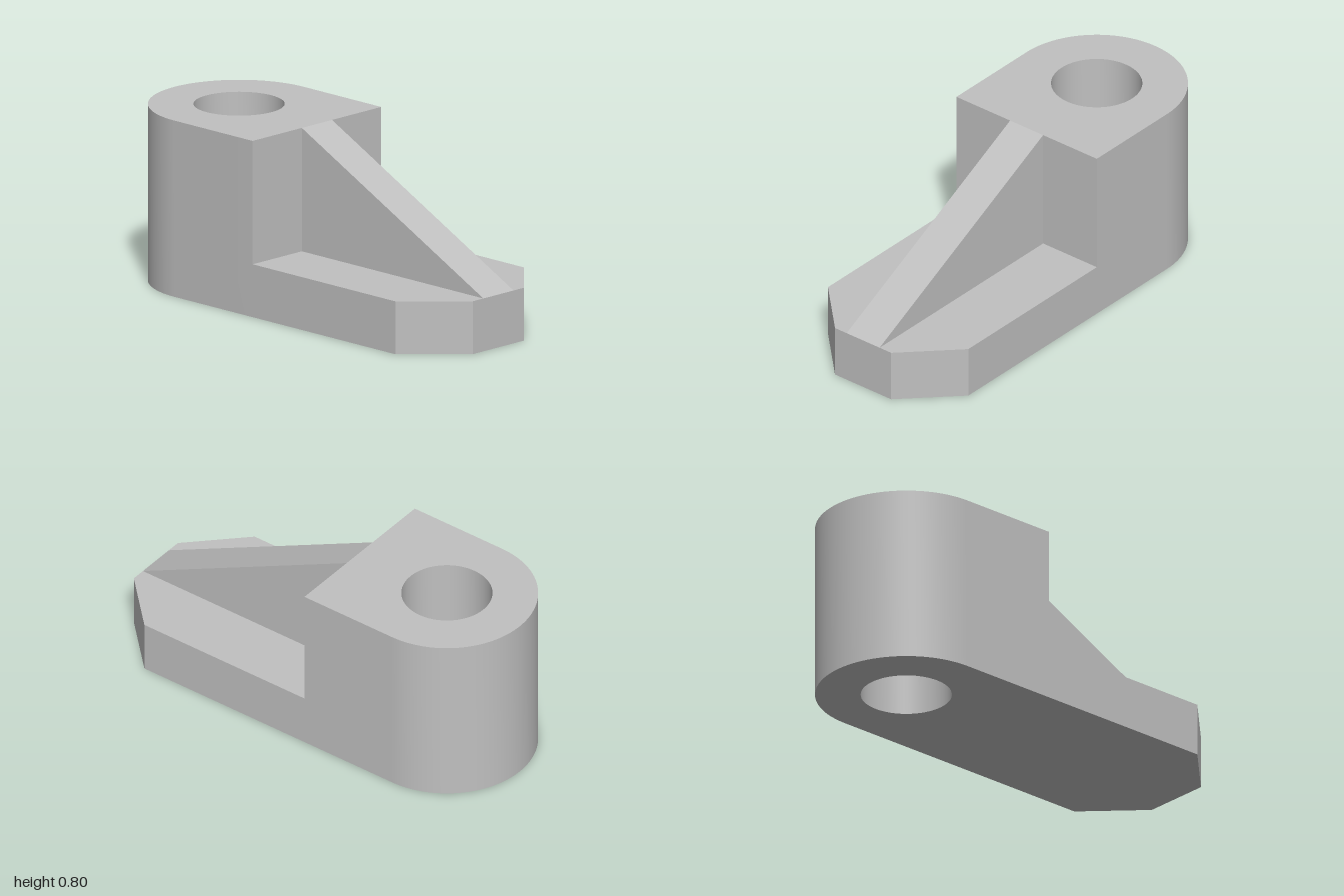
import * as THREE from 'three';
import { toCreasedNormals } from 'three/addons/utils/BufferGeometryUtils.js';

const gray = new THREE.MeshStandardMaterial({ color: 0xc0c0c0 });
gray.name = 'plain gray';

function extrude(shape, depth) {
  return new THREE.ExtrudeGeometry(shape, { depth, bevelEnabled: false, curveSegments: 40 });
}

function addPart(group, name, geometry) {
  const mesh = new THREE.Mesh(toCreasedNormals(geometry, Math.PI / 6), gray);
  mesh.name = name;
  group.add(mesh);
}

export function createModel() {
  const model = new THREE.Group();
  model.name = 'ribbedBracket';

  const half = 0.4;        // half width of the body
  const bossX = -0.6;      // bore axis
  const shoulderX = -0.12; // flat face of the boss
  const height = 0.8;
  const footHeight = 0.24;
  const ribWidth = 0.188;

  // Tall boss: round back, flat shoulder, vertical through bore
  const boss = new THREE.Shape();
  boss.moveTo(shoulderX, -half);
  boss.lineTo(shoulderX, half);
  boss.lineTo(bossX, half);
  boss.absarc(bossX, 0, half, Math.PI / 2, Math.PI * 1.5, false);
  boss.closePath();
  const bore = new THREE.Path();
  bore.absarc(bossX, 0, 0.2, 0, Math.PI * 2, true);
  boss.holes.push(bore);
  addPart(model, 'boss', extrude(boss, height).rotateX(-Math.PI / 2));

  // Low foot plate with chamfered end corners
  const foot = new THREE.Shape([
    [shoulderX, -half], [0.76, -half], [1, -0.16],
    [1, 0.16], [0.76, half], [shoulderX, half],
  ].map(([x, y]) => new THREE.Vector2(x, y)));
  addPart(model, 'footPlate', extrude(foot, footHeight).rotateX(-Math.PI / 2));

  // Triangular stiffening rib from the boss top down to the foot end
  const rib = new THREE.Shape([
    [shoulderX, footHeight], [1, footHeight], [shoulderX, height],
  ].map(([x, y]) => new THREE.Vector2(x, y)));
  addPart(model, 'rib', extrude(rib, ribWidth).translate(0, 0, -ribWidth / 2));

  return model;
}
